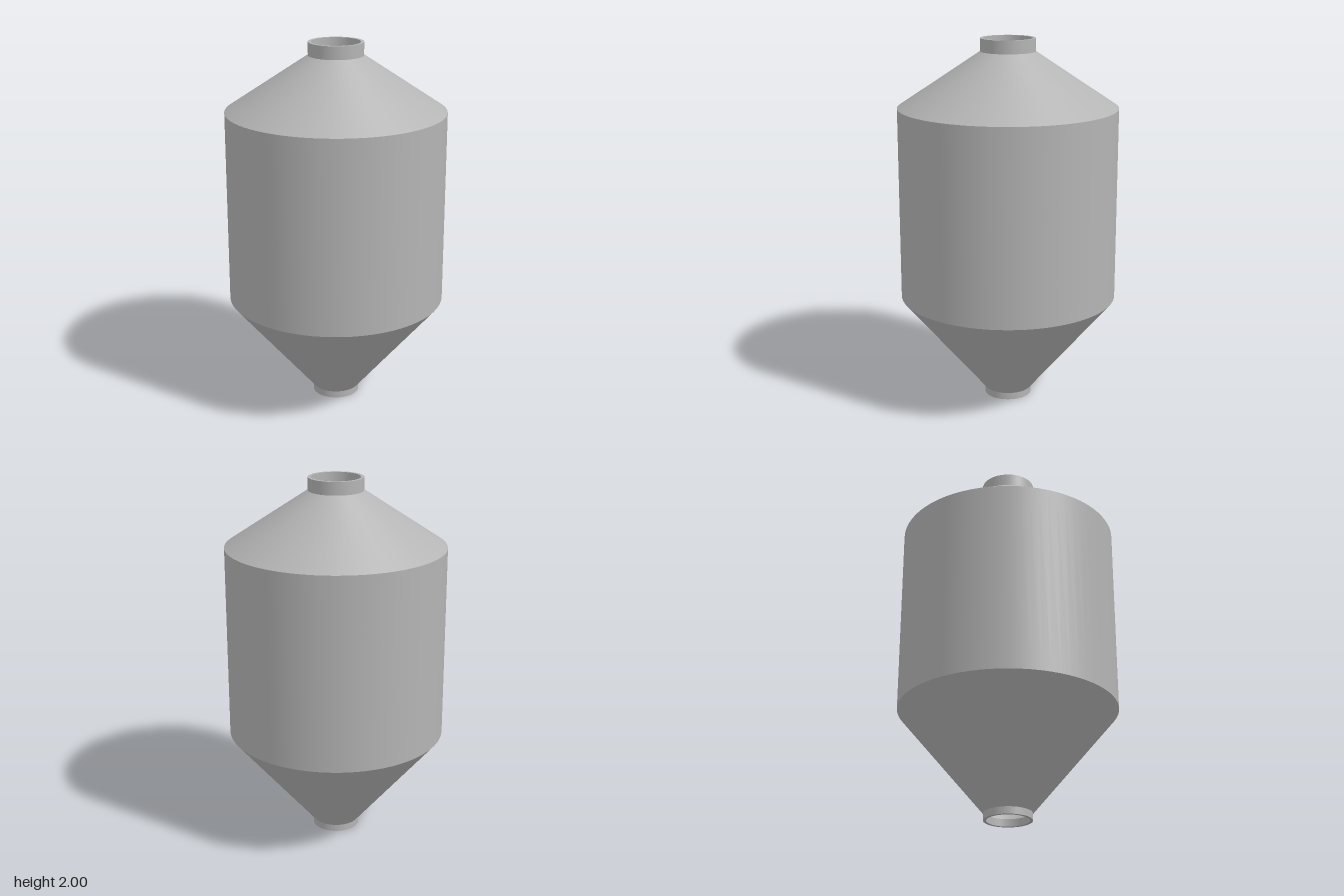
import * as THREE from 'three';
import { mergeGeometries } from 'three/addons/utils/BufferGeometryUtils.js';

const SEGMENTS = 72;

// Revolves a profile with a hard edge at every profile point.
// Outer walls run upward, inner walls downward.
function revolve(points) {
  const strips = [];
  for (let i = 0; i + 1 < points.length; i++) {
    const pair = [points[i], points[i + 1]].map(([r, y]) => new THREE.Vector2(r, y));
    strips.push(new THREE.LatheGeometry(pair, SEGMENTS));
  }
  return mergeGeometries(strips);
}

export function createModel() {
  const model = new THREE.Group();
  model.name = 'hopperSilo';

  const steel = new THREE.MeshStandardMaterial({ color: 0xb4b4b4 });
  steel.name = 'grey steel';

  const add = (name, ...profiles) => {
    const mesh = new THREE.Mesh(mergeGeometries(profiles.map(revolve)), steel);
    mesh.name = name;
    model.add(mesh);
  };

  // Bottom outlet: inner wall, bottom rim, outer wall and small step to the cone
  add('outletCollar', [[0.112, 0.04], [0.112, 0], [0.128, 0], [0.128, 0.038]]);

  // Discharge cone, outside and inside
  add('dischargeCone',
    [[0.128, 0.038], [0.59, 0.59]],
    [[0.573, 0.596], [0.112, 0.04]]);

  // Straight storage body
  add('body',
    [[0.59, 0.59], [0.59, 1.635]],
    [[0.573, 1.626], [0.573, 0.596]]);

  // Sloping roof
  add('roofCone',
    [[0.59, 1.635], [0.147, 1.93]],
    [[0.13, 1.92], [0.573, 1.626]]);

  // Top filling neck with open rim
  add('inletCollar', [[0.147, 1.93], [0.147, 2], [0.13, 2], [0.13, 1.92]]);

  return model;
}
